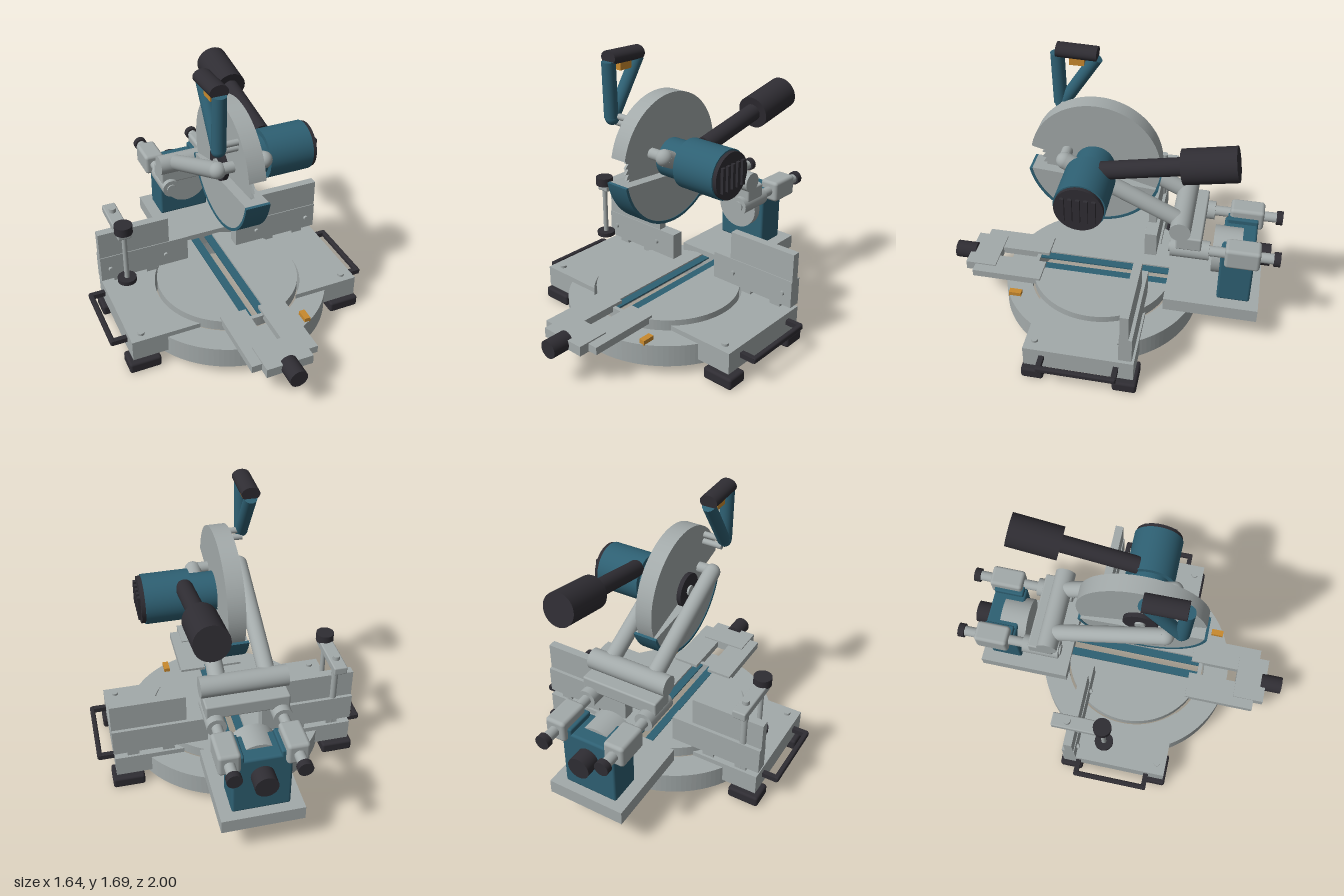
import * as THREE from 'three';
import { RoundedBoxGeometry } from 'three/addons/geometries/RoundedBoxGeometry.js';

const material = (name, color) => {
  const m = new THREE.MeshStandardMaterial({ color });
  m.name = name;
  return m;
};

export function createModel() {
  const root = new THREE.Group();
  root.name = 'mitreSaw';
  const metal = material('grey metal', 0xa3aaaa);
  const teal = material('teal paint', 0x2e6073);
  const black = material('black rubber', 0x2f2d33);
  const orange = material('orange accent', 0xc98a2e);

  const add = (name, geometry, mat) => {
    const mesh = new THREE.Mesh(geometry, mat);
    mesh.name = name;
    root.add(mesh);
    return mesh;
  };
  // Box given by its ranges on each axis; r rounds the edges
  const box = (name, mat, [x0, x1], [y0, y1], [z0, z1], r = 0) => {
    const size = [x1 - x0, y1 - y0, z1 - z0];
    const geo = r ? new RoundedBoxGeometry(...size, 3, r) : new THREE.BoxGeometry(...size);
    const mesh = add(name, geo, mat);
    mesh.position.set((x0 + x1) / 2, (y0 + y1) / 2, (z0 + z1) / 2);
    return mesh;
  };
  // Cylinder between two points
  const rod = (name, mat, a, b, r, rEnd = r) => {
    const from = new THREE.Vector3(...a), to = new THREE.Vector3(...b);
    const dir = to.clone().sub(from);
    const mesh = add(name, new THREE.CylinderGeometry(rEnd, r, dir.length(), 40), mat);
    mesh.position.copy(from).add(to).multiplyScalar(0.5);
    mesh.quaternion.setFromUnitVectors(new THREE.Vector3(0, 1, 0), dir.normalize());
    return mesh;
  };
  const ball = (name, mat, p, r) =>
    add(name, new THREE.SphereGeometry(r, 28, 18), mat).position.set(...p);
  // Plan shape (x, -z) extruded upwards from y0 to y1
  const slab = (name, mat, shape, y0, y1) => {
    const geo = new THREE.ExtrudeGeometry(shape, { depth: y1 - y0, bevelEnabled: false, curveSegments: 64 });
    geo.rotateX(-Math.PI / 2).translate(0, y0, 0);
    return add(name, geo, mat);
  };
  // Side shape (z, y) extruded along x, centred on x = 0
  const plate = (name, mat, shape, width) => {
    const geo = new THREE.ExtrudeGeometry(shape, { depth: width, bevelEnabled: false, curveSegments: 56 });
    geo.translate(0, 0, -width / 2).rotateY(-Math.PI / 2);
    return add(name, geo, mat);
  };
  const circle = (Kind, r, x = 0, y = 0) => {
    const c = new Kind();
    c.absarc(x, y, r, 0, Math.PI * 2, false);
    return c;
  };

  // Base ring and slotted turntable
  const cz = 0.055;
  const ring = circle(THREE.Shape, 0.6, 0, -cz);
  ring.holes.push(circle(THREE.Path, 0.445, 0, -cz));
  slab('baseRing', metal, ring, 0.06, 0.19);
  const table = circle(THREE.Shape, 0.43, 0, -cz);
  table.holes.push(new THREE.Path([[-0.075, -0.46], [-0.075, 0.36], [0.075, 0.36], [0.075, -0.46]]
    .map(p => new THREE.Vector2(...p))));
  slab('turntable', metal, table, 0.18, 0.245);

  for (const s of [-1, 1]) {
    const span = (a, b) => (s > 0 ? [a, b] : [-b, -a]);
    // Side wing cut round the turntable
    const wing = new THREE.Shape();
    const a = Math.asin(0.32 / 0.445);
    wing.moveTo(0.72, -0.375);
    wing.lineTo(0.72, 0.265);
    wing.lineTo(0.445 * Math.cos(a), 0.265);
    wing.absarc(0, -cz, 0.445, a, -a, true);
    wing.closePath();
    const wingMesh = slab('wing', metal, wing, 0.09, 0.22);
    if (s < 0) wingMesh.rotation.y = Math.PI, wingMesh.position.z = 2 * cz;
    rod('wingBolt', metal, [s * 0.65, 0.21, 0.32], [s * 0.65, 0.235, 0.32], 0.02);
    // Feet
    box('foot', black, span(0.555, 0.745), [0, 0.07], [0.26, 0.39], 0.015);
    box('foot', black, span(0.555, 0.745), [0, 0.07], [-0.285, -0.145], 0.015);
    // Carry handle
    box('carryHandle', black, span(0.79, 0.82), [0.148, 0.182], [-0.18, 0.28], 0.01);
    for (const z of [-0.165, 0.265])
      box('carryHandleEnd', black, span(0.7, 0.81), [0.15, 0.18], [z - 0.015, z + 0.015]);
    // Fence
    box('lowerFence', metal, span(0.165, 0.725), [0.248, 0.415], [-0.255, -0.18]);
    box('upperFence', metal, span(0.285, 0.725), [0.415, 0.585], [-0.235, -0.185]);
    for (const x of [0.61, 0.4])
      box('fenceSupport', metal, span(x - 0.035, x + 0.035), [0.2, 0.25], [-0.25, -0.19]);
    for (const x of [0.31, 0.665])
      rod('fenceBolt', metal, [s * x, 0.325, -0.2], [s * x, 0.325, -0.165], 0.014);
    // Kerf plate and front arm rail
    box('kerfPlate', teal, span(0.02, 0.07), [0.232, 0.24], [-0.36, 0.46]);
    box('frontArmRail', metal, span(0.04, 0.2), [0.215, 0.26], [0.41, 0.84]);
    // Slide rail with housing, clamp collar and end cap
    const x = s * 0.185;
    rod('slideRail', metal, [x, 0.655, -0.37], [x, 0.655, -0.97], 0.03);
    box('slideHousing', metal, span(0.122, 0.245), [0.59, 0.72], [-0.89, -0.69], 0.02);
    rod('railCollar', metal, [x, 0.655, -0.38], [x, 0.655, -0.6], 0.055);
    rod('railCap', black, [x, 0.655, -0.963], [x, 0.655, -1], 0.042);
    // Swing arm
    rod('swingArm', metal, [s * 0.138, 0.81, -0.43], [s * 0.138, 1.135, 0.235], 0.048);
    ball('swingArmEnd', metal, [s * 0.138, 1.135, 0.235], 0.048);
  }

  // Front arm tip, lock knob and angle pointer
  box('frontArmTip', metal, [-0.14, 0.14], [0.21, 0.268], [0.71, 0.9]);
  rod('lockKnob', black, [0, 0.24, 0.87], [0, 0.24, 1], 0.053);
  box('anglePointer', orange, [0.262, 0.298], [0.185, 0.215], [0.505, 0.58]);

  // Rear bracket, column and tilt pivot
  box('rearBracket', metal, [-0.235, 0.235], [0.19, 0.275], [-0.915, -0.357]);
  box('column', teal, [-0.165, 0.165], [0.27, 0.64], [-0.86, -0.665], 0.015);
  rod('tiltPivot', metal, [0, 0.52, -0.78], [0, 0.52, -0.615], 0.14);
  rod('tiltKnob', black, [0, 0.52, -0.85], [0, 0.52, -0.95], 0.065);
  for (const s of [-1, 1])
    box('railBridge', teal, s > 0 ? [0.1, 0.18] : [-0.18, -0.1], [0.61, 0.67], [-0.86, -0.68], 0.01);

  // Carriage, hinge and arm crossbar
  box('carriage', metal, [-0.235, 0.235], [0.68, 0.765], [-0.555, -0.41], 0.01);
  rod('hinge', metal, [-0.245, 0.81, -0.432], [0.245, 0.81, -0.432], 0.06);
  rod('crossbar', metal, [-0.14, 1.14, 0.24], [0.14, 1.14, 0.24], 0.032);

  // Blade and guards about the spindle axis
  const hz = 0.083, hy = 1.077, rad = d => d * Math.PI / 180;
  const sector = (r, from, to) => {
    const s = new THREE.Shape();
    s.moveTo(hz, hy);
    s.absarc(hz, hy, r, rad(from), rad(to), false);
    s.closePath();
    return s;
  };
  plate('upperGuard', metal, sector(0.37, 11, 200), 0.1);
  plate('lowerGuard', metal, sector(0.37, 200, 349), 0.134);
  const rim = new THREE.Shape();
  rim.absarc(hz, hy, 0.386, rad(200), rad(349), false);
  rim.absarc(hz, hy, 0.37, rad(349), rad(200), true);
  rim.closePath();
  plate('lowerGuardRim', teal, rim, 0.142);
  const teeth = [];
  for (let i = 0; i < 60; i++)
    for (const [r, k] of [[0.295, 0], [0.318, 0.15]]) {
      const t = (i + k) / 60 * Math.PI * 2;
      teeth.push(new THREE.Vector2(hz + r * Math.cos(t), hy + r * Math.sin(t)));
    }
  plate('blade', metal, new THREE.Shape(teeth), 0.014);
  rod('bladeFlange', black, [-0.045, hy, hz], [-0.076, hy, hz], 0.1);
  rod('bladeBolt', metal, [-0.07, hy, hz], [-0.088, hy, hz], 0.03);

  // Motor with vented cap
  rod('motorNeck', teal, [0.04, hy, hz], [0.2, hy, hz], 0.112);
  rod('motorBody', teal, [0.19, hy, hz], [0.457, hy, hz], 0.142);
  rod('motorCap', black, [0.45, hy, hz], [0.48, hy, hz], 0.134);
  for (let i = -2; i <= 2; i++)
    box('motorFin', black, [0.475, 0.497], [hy - 0.072, hy + 0.072], [hz + i * 0.042 - 0.011, hz + i * 0.042 + 0.011]);

  // Dust pipe and canister
  rod('dustPipe', black, [0.23, 1.165, 0.01], [0.23, 1.255, -0.44], 0.05);
  rod('dustCanister', black, [0.23, 1.25, -0.425], [0.23, 1.306, -0.712], 0.096);

  // Operating handle
  const hx = -0.168;
  rod('handleFrontLeg', teal, [hx, 1.32, 0.325], [hx, 1.63, 0.333], 0.039);
  rod('handleRearLeg', teal, [hx, 1.32, 0.31], [hx, 1.62, 0.115], 0.037);
  ball('handleElbow', teal, [hx, 1.315, 0.318], 0.04);
  const grip = rod('handleGrip', black, [hx, 1.65, 0.335], [hx, 1.643, 0.108], 0.052);
  grip.scale.z = 0.75;
  box('trigger', orange, [hx - 0.02, hx + 0.02], [1.57, 1.62], [0.18, 0.265]);
  for (const [y, z] of [[1.325, 0.3], [1.285, 0.29]])
    rod('handleBracket', metal, [hx, y, z], [-0.04, y, z], 0.018);

  // Work clamp
  const wx = -0.61;
  rod('clampPost', metal, [wx, 0.2, -0.23], [wx, 0.725, -0.23], 0.021);
  box('clampArm', metal, [wx - 0.04, wx + 0.04], [0.65, 0.7], [-0.32, 0], 0.008);
  rod('clampScrew', metal, [wx, 0.36, -0.022], [wx, 0.68, -0.022], 0.015);
  rod('clampPad', black, [wx, 0.34, -0.022], [wx, 0.366, -0.022], 0.056);
  rod('clampKnob', black, [wx, 0.69, -0.022], [wx, 0.742, -0.022], 0.053);

  return root;
}
